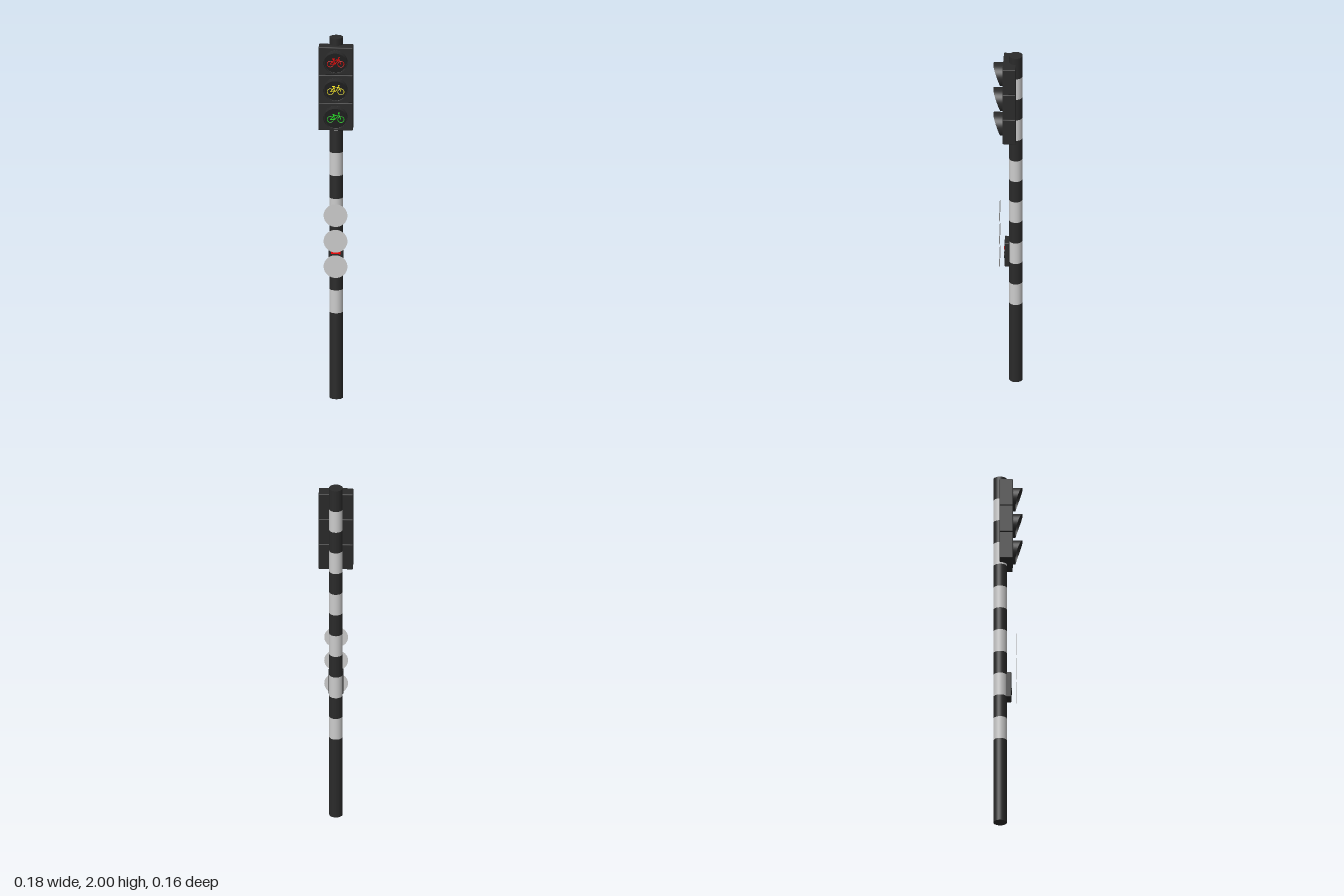
import * as THREE from 'three';
import { RoundedBoxGeometry } from 'three/addons/geometries/RoundedBoxGeometry.js';

const mat = (color, side = THREE.FrontSide) => new THREE.MeshStandardMaterial({ color, side });
const black = mat(0x2a2a2a);
const blackThin = mat(0x2a2a2a, THREE.DoubleSide);
const lensBlack = mat(0x1c1c1c);
const white = mat(0xcccccc);
const whiteThin = mat(0xcccccc, THREE.DoubleSide);
const red = mat(0xff0000);

function add(parent, name, geometry, material, x = 0, y = 0, z = 0) {
  const mesh = new THREE.Mesh(geometry, material);
  mesh.name = name;
  mesh.position.set(x, y, z);
  parent.add(mesh);
  return mesh;
}

// Striped round pole: long dark base, then equal light and dark bands
function makePole() {
  const pole = new THREE.Group();
  pole.name = 'pole';
  const r = 0.036, base = 0.477, count = 12, h = (2 - base) / count;
  add(pole, 'poleBase', new THREE.CylinderGeometry(r, r, base, 32), black, 0, base / 2);
  for (let i = 0; i < count; i++) {
    add(pole, i % 2 ? 'darkBand' : 'lightBand', new THREE.CylinderGeometry(r, r, h, 32),
      i % 2 ? black : white, 0, base + (i + 0.5) * h);
  }
  pole.position.z = -0.043;
  return pole;
}

// Round hood, longest at the top and shallow at the bottom
function visorGeometry(r, depth, reach) {
  const geo = new THREE.CylinderGeometry(r, r, 1, 48, 1, true);
  geo.rotateX(Math.PI / 2);
  const p = geo.attributes.position;
  for (let i = 0; i < p.count; i++) {
    const top = Math.max(0, (1 + p.getY(i) / r) / 2);
    p.setZ(i, p.getZ(i) > 0 ? depth + reach * Math.pow(top, 1.5) : 0);
  }
  return geo;
}

// Bicycle symbol made from two rings and thin bars
function makeBicycle(color) {
  const bike = new THREE.Group();
  bike.name = 'bicycleSymbol';
  const m = mat(color);
  for (const x of [-0.028, 0.028]) {
    add(bike, 'wheel', new THREE.TorusGeometry(0.0165, 0.0018, 6, 28), m, x, -0.011);
  }
  const rear = [-0.028, -0.011], front = [0.028, -0.011], crank = [-0.004, -0.011];
  const seat = [-0.012, 0.017], head = [0.017, 0.014], bar = [0.014, 0.025];
  const bars = [
    [rear, crank], [rear, [-0.01, 0.01]], [crank, seat], [crank, head],
    [[-0.01, 0.01], head], [front, bar], [bar, [0.023, 0.026]],
    [[-0.019, 0.018], [-0.005, 0.018]],
  ];
  for (const [a, b] of bars) {
    const dx = b[0] - a[0], dy = b[1] - a[1];
    const tube = add(bike, 'frameBar', new THREE.BoxGeometry(Math.hypot(dx, dy) + 0.002, 0.0035, 0.002),
      m, (a[0] + b[0]) / 2, (a[1] + b[1]) / 2);
    tube.rotation.z = Math.atan2(dy, dx);
  }
  return bike;
}

// One signal: housing, dark lens, rim, hood and symbol
function makeSignal(color) {
  const signal = new THREE.Group();
  signal.name = 'signal';
  add(signal, 'housing', new RoundedBoxGeometry(0.182, 0.152, 0.07, 2, 0.004), black, 0, 0, -0.011);
  const lens = add(signal, 'lens', new THREE.CylinderGeometry(0.06, 0.06, 0.004, 40), lensBlack, 0, 0, 0.025);
  lens.rotation.x = Math.PI / 2;
  add(signal, 'lensRim', new THREE.TorusGeometry(0.061, 0.0025, 6, 40), black, 0, 0, 0.025);
  add(signal, 'visor', visorGeometry(0.063, 0.014, 0.039), blackThin, 0, 0, 0.023);
  const bike = makeBicycle(color);
  bike.position.z = 0.0285;
  signal.add(bike);
  return signal;
}

// Small control box on the front of the pole
function makePushBox() {
  const box = new THREE.Group();
  box.name = 'pushButtonBox';
  add(box, 'buttonHousing', new RoundedBoxGeometry(0.078, 0.145, 0.026, 2, 0.004), black, 0, 0.788, 0.003);
  add(box, 'redLabel', new THREE.BoxGeometry(0.05, 0.018, 0.002), red, 0, 0.822, 0.0165);
  const button = add(box, 'pushButton', new THREE.CylinderGeometry(0.018, 0.018, 0.005, 24), lensBlack, 0, 0.765, 0.017);
  button.rotation.x = Math.PI / 2;
  return box;
}

export function createModel() {
  const model = new THREE.Group();
  model.name = 'bicycleTrafficLight';
  model.add(makePole(), makePushBox());

  [0xff0000, 0xffee22, 0x22dd22].forEach((color, i) => {
    const signal = makeSignal(color);
    signal.position.y = 1.882 - i * 0.1535;
    signal.children[0].position.y = 0.003;
    model.add(signal);
  });

  // Thin round discs in front of the pole
  for (const y of [1.035, 0.893, 0.752]) {
    add(model, 'disc', new THREE.CircleGeometry(0.063, 40), whiteThin, 0, y, 0.042);
  }
  return model;
}
